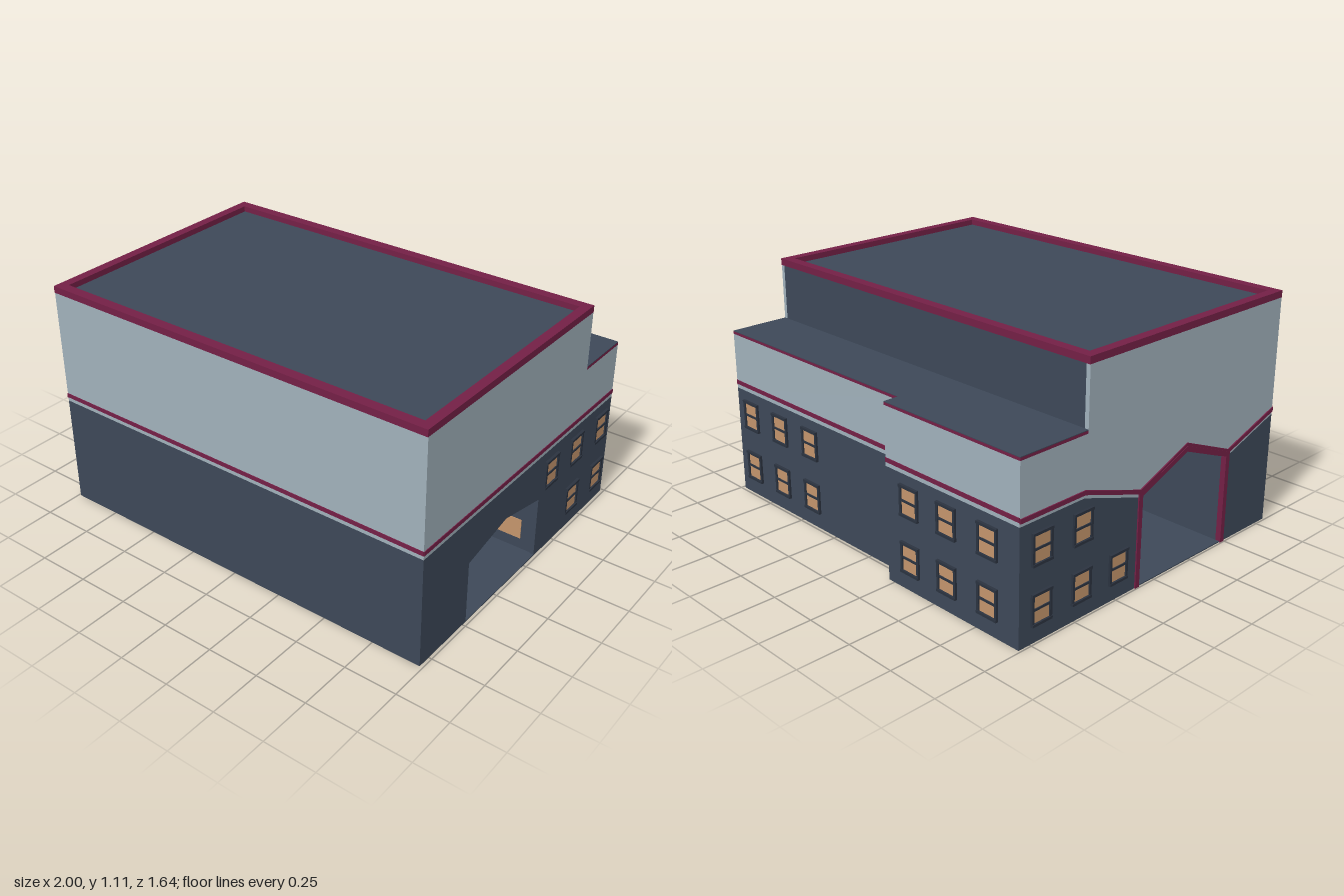
import * as THREE from 'three';

const mat = (name, color) => {
  const m = new THREE.MeshStandardMaterial({ color });
  m.name = name;
  return m;
};

export function createModel() {
  const model = new THREE.Group();
  model.name = 'building';
  const navy = mat('navy', 0x3d4858);
  const grey = mat('paleGrey', 0xa1b1bb);
  const maroon = mat('maroon', 0x742046);
  const tan = mat('tanGlass', 0xc4956c);
  const dark = mat('darkFrame', 0x2b3340);

  // Box given by its limits
  function box(name, m, x0, x1, y0, y1, z0, z1, parent = model) {
    const mesh = new THREE.Mesh(new THREE.BoxGeometry(x1 - x0, y1 - y0, z1 - z0), m);
    mesh.position.set((x0 + x1) / 2, (y0 + y1) / 2, (z0 + z1) / 2);
    mesh.name = name;
    parent.add(mesh);
    return mesh;
  }
  // Profile of (z, y) points, extruded along x from x0 to x1
  function profile(name, m, pts, x0, x1) {
    const shape = new THREE.Shape(pts.map(([z, y]) => new THREE.Vector2(z, y)));
    const geo = new THREE.ExtrudeGeometry(shape, { depth: x1 - x0, bevelEnabled: false });
    geo.rotateY(-Math.PI / 2).translate(x1, 0, 0);
    const mesh = new THREE.Mesh(geo, m);
    mesh.name = name;
    model.add(mesh);
  }
  // Ribbon profile of height h sitting on a line of points
  const ribbon = (line, h) => [...line, ...line.map(([z, y]) => [z, y + h]).reverse()];

  const L = -0.99, R = 0.985, F = 0.815, B1 = -0.81, B2 = -0.735, S = -0.215, M = -0.44, T = 0.02;

  // Front wall
  box('frontBase', navy, L + T, R - T, 0, 0.53, F - T, F);
  box('frontUpper', grey, L + T, R - T, 0.53, 1.08, F - T, F);
  box('frontStripe', maroon, L, R, 0.55, 0.57, F - 0.002, F + 0.003);

  // Right wall with the low passage opening
  profile('rightBase', navy, [[B2, 0], [-0.09, 0], [-0.09, 0.305], [0.19, 0.365], [0.475, 0.305],
    [0.475, 0], [F, 0], [F, 0.53], [B2, 0.53]], R - T, R);
  profile('rightUpper', grey, [[B2, 0.53], [F, 0.53], [F, 1.08], [M, 1.08], [M, 0.8], [B2, 0.8]], R - T, R);
  box('rightStripe', maroon, R - 0.002, R + 0.003, 0.55, 0.57, B2, F);

  // Left wall: its stripe dips, then rises in a gable over the passage
  const wave = [[B1, 0.53], [-0.45, 0.53], [-0.11, 0.42], [0.19, 0.54], [0.49, 0.42], [F, 0.53]];
  profile('leftBaseBack', navy, [[B1, 0], [-0.11, 0], [-0.11, 0.42], [-0.45, 0.53], [B1, 0.53]], L, L + T);
  profile('leftBaseFront', navy, [[0.49, 0], [F, 0], [F, 0.53], [0.49, 0.42]], L, L + T);
  profile('leftUpper', grey, [...wave, [F, 1.08], [M, 1.08], [M, 0.8], [B1, 0.8]], L, L + T);
  profile('leftStripe', maroon, ribbon(wave.map(([z, y]) => [z, y + 0.015]), 0.02), L - 0.005, L + 0.002);
  profile('archTrim', maroon, ribbon([[-0.12, 0.415], [0.19, 0.535], [0.5, 0.415]], 0.025), L - 0.006, L + T);
  for (const z of [-0.12, 0.475]) box('archPost', maroon, L - 0.006, L + T, 0, 0.43, z, z + 0.025);

  // Stepped rear wing
  for (const [x0, x1, z] of [[L, S, B1], [S, R, B2]]) {
    const a = x0 === L ? x0 + T : x0, b = x1 === R ? x1 - T : x1;
    box('rearBase', navy, a, b, 0, 0.53, z, z + T);
    box('rearUpper', grey, a, b, 0.53, 0.8, z, z + T);
    box('rearStripe', maroon, x0, x1, 0.55, 0.57, z - 0.003, z + 0.002);
    box('rearTrim', maroon, x0, x1, 0.8, 0.813, z, M);
    box('rearRoof', navy, x0, x1, 0.813, 0.816, z, M);
    box('rearFloor', navy, a, b, 0, 0.01, z + T, -0.49);
  }
  box('stepBase', navy, S - T, S, 0, 0.53, B1 + T, B2 + T);
  box('stepUpper', grey, S - T, S, 0.53, 0.8, B1 + T, B2 + T);
  box('stepStripe', maroon, S - 0.002, S + 0.003, 0.55, 0.57, B1, B2);
  box('rearInnerWall', navy, L + T, R - T, 0.01, 0.8, -0.51, -0.49);

  // Main block top
  box('mainBackWall', navy, L + T, R - T, 0.8, 1.08, M, M + T);
  box('mainRoof', navy, L + T, R - T, 1.07, 1.085, M + T, F - T);
  const P = 0.045;
  box('parapetFront', maroon, L, R, 1.08, 1.112, F - P, F + 0.002);
  box('parapetBack', maroon, L, R, 1.08, 1.112, M - 0.002, M + P);
  box('parapetLeft', maroon, L, L + P, 1.08, 1.112, M + P, F - P);
  box('parapetRight', maroon, R - P, R, 1.08, 1.112, M + P, F - P);

  // Passage
  box('passageFloor', navy, L, R, 0, 0.005, -0.1, 0.475);
  box('passageBackWall', navy, L + T, R - T, 0, 0.42, -0.11, -0.095);
  box('passageFrontWall', navy, L + T, R - T, 0, 0.42, 0.48, 0.495);
  profile('passageCeiling', maroon, ribbon([[-0.11, 0.41], [0.19, 0.53], [0.495, 0.41]], 0.015), L + T, R - T);
  for (const x of [-0.355, 0.285]) {
    box('floorPlinth', dark, x - 0.125, x + 0.125, 0, 0.025, 0.1, 0.3);
    box('floorPlinthCap', dark, x - 0.115, x + 0.115, 0.025, 0.032, 0.11, 0.29);
  }
  for (const x of [-0.83, 0.83]) {
    box('passageDoor', tan, x - 0.08, x + 0.08, 0.06, 0.16, -0.114, -0.0915);
  }
  // Alcove units hidden behind the passage walls
  for (let i = 0; i < 4; i++) {
    const x = 0.45 - i * 0.315;
    for (const z of [-0.2, 0.585]) {
      box('alcove', grey, x - 0.11, x + 0.11, 0.05, 0.27, z - 0.085, z + 0.085);
      box('alcoveBase', dark, x - 0.1, x + 0.1, 0.03, 0.05, z - 0.075, z + 0.075);
    }
  }

  // Framed two-pane windows, built facing +z
  function addWindow(x, y, z, turn) {
    const g = new THREE.Group();
    g.name = 'window';
    for (const s of [-1, 1]) {
      box('jamb', dark, s * 0.05 - 0.006, s * 0.05 + 0.006, -0.07, 0.07, -0.005, 0.01, g);
      box('rail', dark, -0.056, 0.056, s * 0.066 - 0.006, s * 0.066 + 0.006, -0.005, 0.013, g);
      box('pane', tan, -0.045, 0.045, s * 0.033 - 0.028, s * 0.033 + 0.028, -0.003, 0.004, g);
    }
    box('middleRail', dark, -0.045, 0.045, -0.005, 0.005, -0.005, 0.009, g);
    g.position.set(x, y, z);
    g.rotation.y = turn;
    model.add(g);
  }
  const LOW = 0.15, HIGH = 0.412;
  for (const y of [LOW, HIGH]) {
    for (const x of [-0.82, -0.585, -0.36]) addWindow(x, y, B1, Math.PI);
    for (const x of [0.415, 0.645, 0.875]) addWindow(x, y, B2, Math.PI);
    for (const z of [-0.64, -0.405]) addWindow(R, y, z, Math.PI / 2);
    for (const z of [-0.69, -0.46]) addWindow(L, y, z, -Math.PI / 2);
  }
  addWindow(R, HIGH, -0.18, Math.PI / 2);
  addWindow(L, LOW, -0.235, -Math.PI / 2);

  return model;
}
